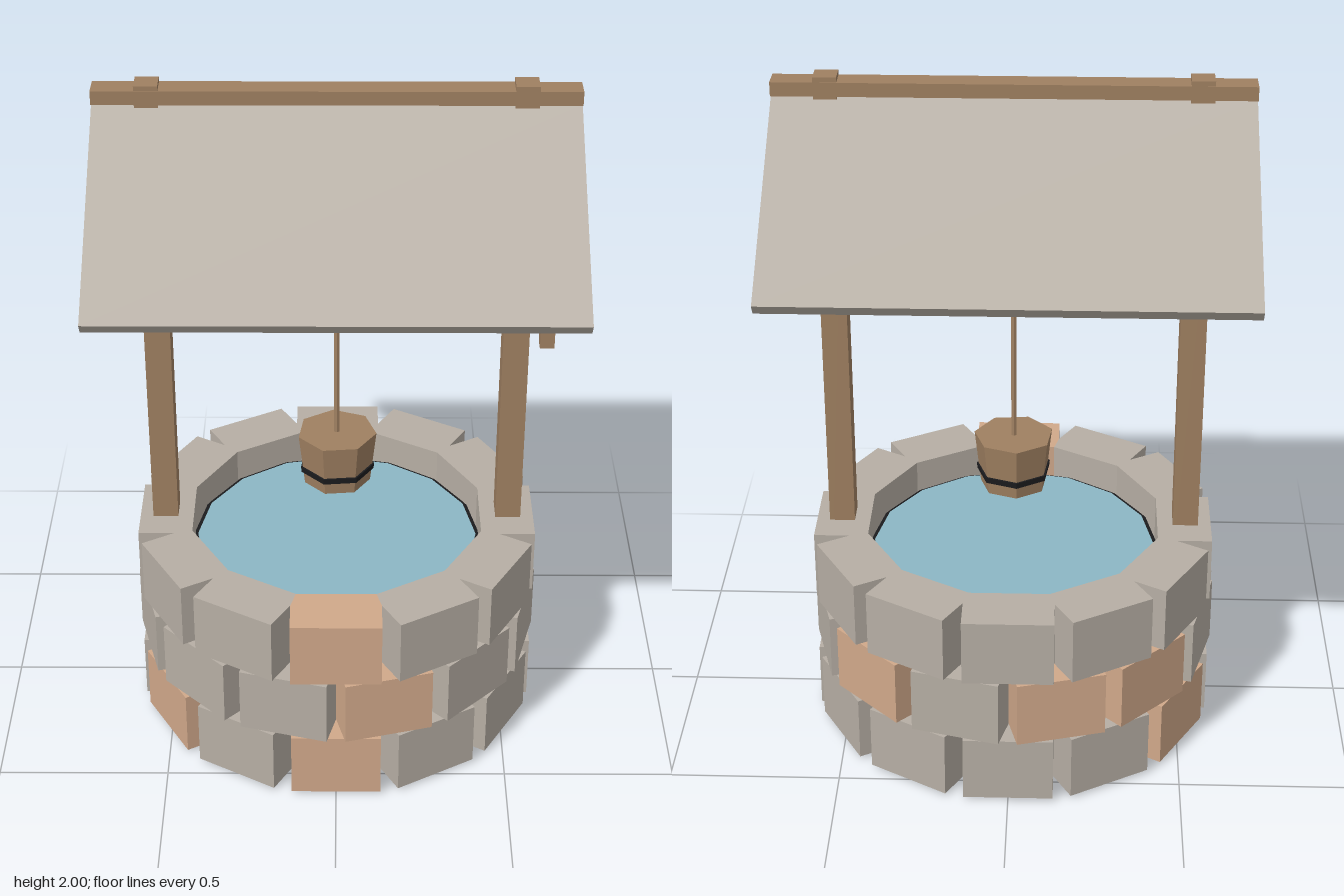
import * as THREE from 'three';

function material(name, color) {
  const m = new THREE.MeshStandardMaterial({ color, flatShading: true });
  m.name = name;
  return m;
}

export function createModel() {
  const model = new THREE.Group();
  model.name = 'well';

  const stone = material('grey stone', 0xb6aea4);
  const tanStone = material('tan', 0xd0a88a);
  const wood = material('brown wood', 0x9f8061);
  const water = material('blue water', 0x8cb6c4);
  const black = material('black', 0x1c1c1e);

  function add(name, geometry, mat, x = 0, y = 0, z = 0, parent = model) {
    const mesh = new THREE.Mesh(geometry, mat);
    mesh.name = name;
    mesh.position.set(x, y, z);
    parent.add(mesh);
    return mesh;
  }
  const box = (w, h, d) => new THREE.BoxGeometry(w, h, d);

  // Wall: three staggered rings of twelve stones, wedge-shaped where they meet inside
  const rowHeight = 0.2, meet = 0.13 / Math.tan(Math.PI / 12), inner = 0.43;
  const innerHalf = inner * Math.tan(Math.PI / 12);
  const outline = new THREE.Shape([
    [-0.13, 0.59], [-0.13, meet], [-innerHalf, inner],
    [innerHalf, inner], [0.13, meet], [0.13, 0.59],
  ].map(([x, y]) => new THREE.Vector2(x, y)));
  const stoneGeometry = new THREE.ExtrudeGeometry(outline, { depth: rowHeight, bevelEnabled: false });
  stoneGeometry.rotateX(Math.PI / 2).translate(0, rowHeight, 0);

  const wall = new THREE.Group();
  wall.name = 'stoneWall';
  model.add(wall);
  const tanAngles = [[0, 240, 300], [15, 135, 195, 225], [0]];
  tanAngles.forEach((tans, row) => {
    for (let i = 0; i < 12; i++) {
      const angle = i * 30 + (row === 1 ? 15 : 0);
      const mat = tans.includes(angle) ? tanStone : stone;
      const block = add('wallStone', stoneGeometry, mat, 0, 0.01 + row * rowHeight, 0, wall);
      block.rotation.y = THREE.MathUtils.degToRad(angle);
    }
  });

  // Dark lining and the water surface
  add('wellLining', new THREE.CylinderGeometry(0.435, 0.435, 0.515, 16), black, 0, 0.2575);
  add('waterSurface', new THREE.CylinderGeometry(0.422, 0.422, 0.008, 16), water, 0, 0.517);

  // Posts with narrower tops that pass through the ridge beam
  for (const side of [-1, 1]) {
    add('post', box(0.075, 1.36, 0.08), wood, side * 0.514, 1.09);
    add('postTop', box(0.065, 0.24, 0.066), wood, side * 0.514, 1.88);
  }

  // Roof slabs and ridge beam
  const top = [0.012, 1.93], eave = [0.5625, 1.5525];
  const run = eave[0] - top[0], drop = top[1] - eave[1];
  for (const side of [-1, 1]) {
    const slab = add('roofSlab', box(1.325, 0.036, Math.hypot(run, drop)), stone,
      0, (top[1] + eave[1]) / 2, side * (top[0] + eave[0]) / 2);
    slab.rotation.x = side * Math.atan2(drop, run);
  }
  add('ridgeBeam', box(1.327, 0.04, 0.07), wood, 0, 1.966);

  // Winding axle with its rope drum
  const axleY = 1.464;
  function hexBar(name, radius, length, mat) {
    const geometry = new THREE.CylinderGeometry(radius, radius, length, 6);
    geometry.rotateZ(Math.PI / 2).rotateX(Math.PI / 2 + 0.06);
    return add(name, geometry, mat, 0, axleY);
  }
  hexBar('axle', 0.052, 1.115, wood);
  hexBar('ropeDrum', 0.07, 0.335, tanStone);

  // Crank
  add('crankArm', box(0.04, 0.035, 0.265), wood, 0.58, axleY, 0.1225);
  add('crankHandle', box(0.04, 0.16, 0.04), wood, 0.58, 1.4, 0.235);
  add('crankHub', box(0.03, 0.035, 0.035), wood, 0.56, axleY);

  // Rope and bucket
  add('rope', new THREE.CylinderGeometry(0.009, 0.009, 0.55, 6), wood, 0, 1.145);
  const bucket = new THREE.Group();
  bucket.name = 'bucket';
  bucket.rotation.y = -0.35;
  model.add(bucket);
  add('bucketBody', new THREE.CylinderGeometry(0.118, 0.1, 0.162, 7), wood, 0, 0.809, 0, bucket);
  add('bucketBand', new THREE.CylinderGeometry(0.112, 0.11, 0.018, 7), black, 0, 0.776, 0, bucket);

  return model;
}
